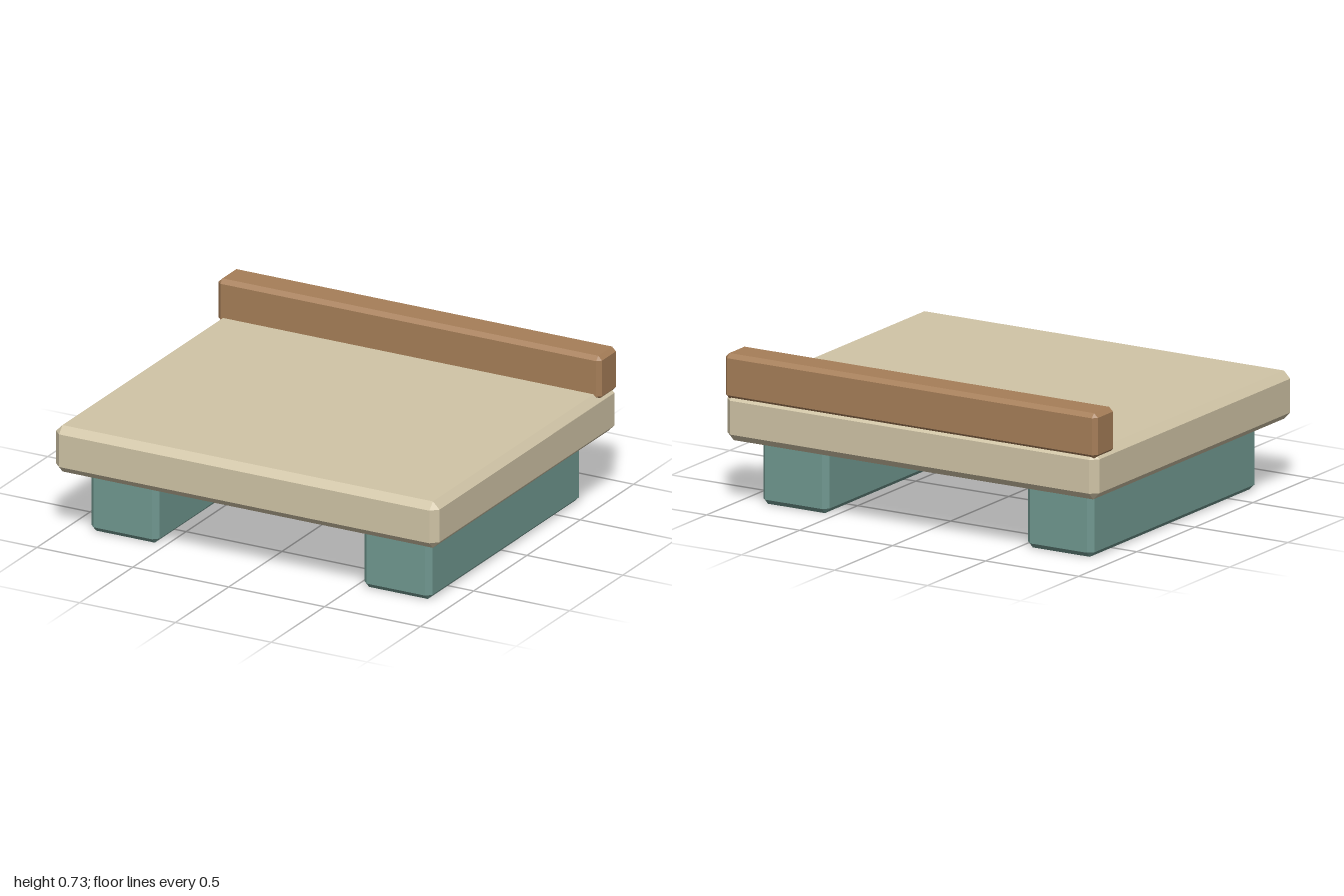
import * as THREE from 'three';
import { ConvexGeometry } from 'three/addons/geometries/ConvexGeometry.js';

// Box with flat chamfers on every edge, given by its min and max corners
function chamferedBox(name, min, max, c, color) {
  const half = max.map((v, i) => (v - min[i]) / 2);
  const points = [];
  for (const sx of [-1, 1]) for (const sy of [-1, 1]) for (const sz of [-1, 1]) {
    // each corner is cut into three points, one per adjoining face
    for (let face = 0; face < 3; face++) {
      const [x, y, z] = half.map((h, i) => (i === face ? h : h - c));
      points.push(new THREE.Vector3(sx * x, sy * y, sz * z));
    }
  }
  const material = new THREE.MeshStandardMaterial({ color, flatShading: true });
  const mesh = new THREE.Mesh(new ConvexGeometry(points), material);
  mesh.name = name;
  mesh.position.set(...max.map((v, i) => (v + min[i]) / 2));
  return mesh;
}

export function createModel() {
  const group = new THREE.Group();
  group.name = 'lowPlatform';

  // Thick platform slab
  group.add(chamferedBox('platform', [-1, 0.317, -0.855], [1, 0.545, 0.855], 0.034, 0xd0c4a6));

  // Rail along the back edge, slightly sunk into the slab
  group.add(chamferedBox('backRail', [-1, 0.515, -0.855], [1, 0.73, -0.685], 0.02, 0xa67e58));

  // Two runners from front to back, sunk into the slab
  for (const [name, x] of [['leftRunner', 0.712], ['rightRunner', -0.712]]) {
    group.add(chamferedBox(name, [x - 0.178, 0, -0.713], [x + 0.178, 0.345, 0.713], 0.025, 0x709890));
  }
  return group;
}
